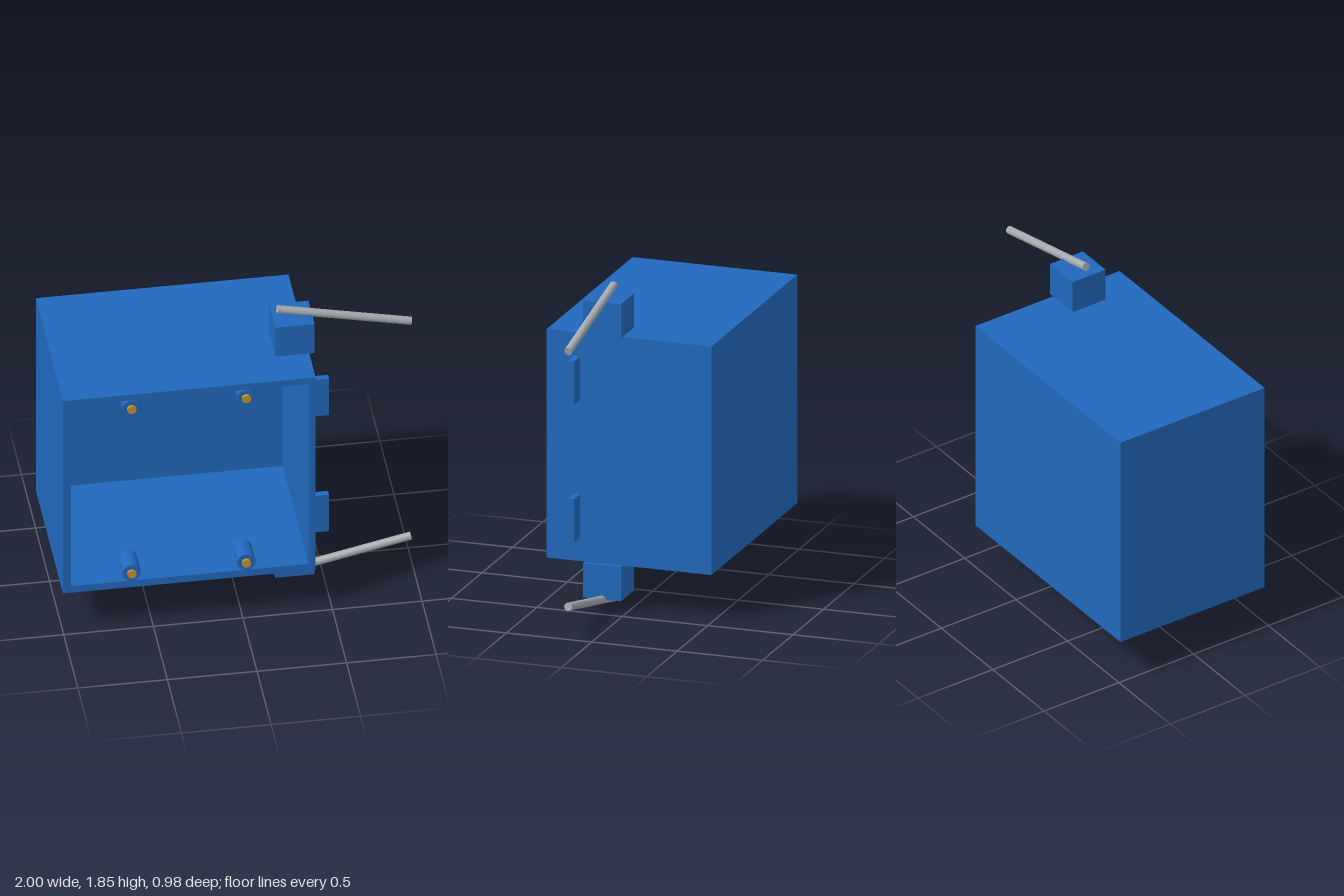
import * as THREE from 'three';

const MID_Y = 0.925; // the model is mirrored above and below this height

export function createModel() {
  const model = new THREE.Group();
  model.name = 'enclosure';
  const blue = new THREE.MeshStandardMaterial({ name: 'blue plastic', color: 0x2168bd });
  const brass = new THREE.MeshStandardMaterial({ name: 'brass', color: 0xc4952f });
  const steel = new THREE.MeshStandardMaterial({ name: 'steel', color: 0xa3a9b0 });

  const add = (name, geometry, material) => {
    const mesh = new THREE.Mesh(geometry, material);
    mesh.name = name;
    model.add(mesh);
    return mesh;
  };
  // Box given by its limits on each axis
  const box = (name, [x0, x1], [y0, y1], [z0, z1]) =>
    add(name, new THREE.BoxGeometry(x1 - x0, y1 - y0, z1 - z0), blue)
      .position.set((x0 + x1) / 2, (y0 + y1) / 2, (z0 + z1) / 2);
  // Cylinder along z
  const pin = (name, radius, x, y, z0, z1, material) =>
    add(name, new THREE.CylinderGeometry(radius, radius, z1 - z0, 32).rotateX(Math.PI / 2), material)
      .position.set(x, y, (z0 + z1) / 2);
  const corners = (x0, x1, y0, y1) =>
    [[x0, y0], [x1, y0], [x1, y1], [x0, y1]].map(([x, y]) => new THREE.Vector2(x, y));

  // Case: four walls around a cavity open at the front, closed by a back panel
  const walls = new THREE.Shape(corners(-1, 0.41, 0.265, 1.585));
  walls.holes.push(new THREE.Path(corners(-0.955, 0.37, 0.31, 1.545).reverse()));
  add('caseWalls', new THREE.ExtrudeGeometry(walls, { depth: 0.92, bevelEnabled: false }), blue)
    .position.z = -0.445;
  box('backPanel', [-1, 0.41], [0.265, 1.585], [-0.49, -0.445]);

  // Low pads on the inside of the back panel
  for (const x of [-0.77, -0.13]) box('innerPad', [x, x + 0.305], [1.175, 1.37], [-0.445, -0.41]);

  // Screw bosses with brass inserts
  for (const x of [-0.617, 0.023]) {
    for (const side of [-1, 1]) {
      const y = MID_Y + side * 0.564;
      pin('screwBoss', 0.052, x, y, 0.33, 0.474, blue);
      pin('brassInsert', 0.025, x, y, 0.34, 0.49, brass);
    }
  }

  for (const side of [-1, 1]) {
    // Side tab
    const tabY = MID_Y + side * 0.398;
    box('sideTab', [0.41, 0.51], [tabY - 0.125, tabY + 0.125], [0.278, 0.315]);

    // Rod mount on the top and the bottom of the case
    const mountY = MID_Y + side * 0.759;
    box('rodMount', [0.22, 0.44], [mountY - 0.099, mountY + 0.099], [0.03, 0.25]);

    // Slanted rod
    const start = new THREE.Vector3(0.248, MID_Y + side * 0.902, 0.14);
    const end = new THREE.Vector3(0.995, MID_Y + side * 0.737, 0.14);
    const rod = add('rod', new THREE.CylinderGeometry(0.023, 0.023, start.distanceTo(end), 32), steel);
    rod.position.lerpVectors(start, end, 0.5);
    rod.quaternion.setFromUnitVectors(new THREE.Vector3(0, 1, 0), end.clone().sub(start).normalize());
  }

  return model;
}
